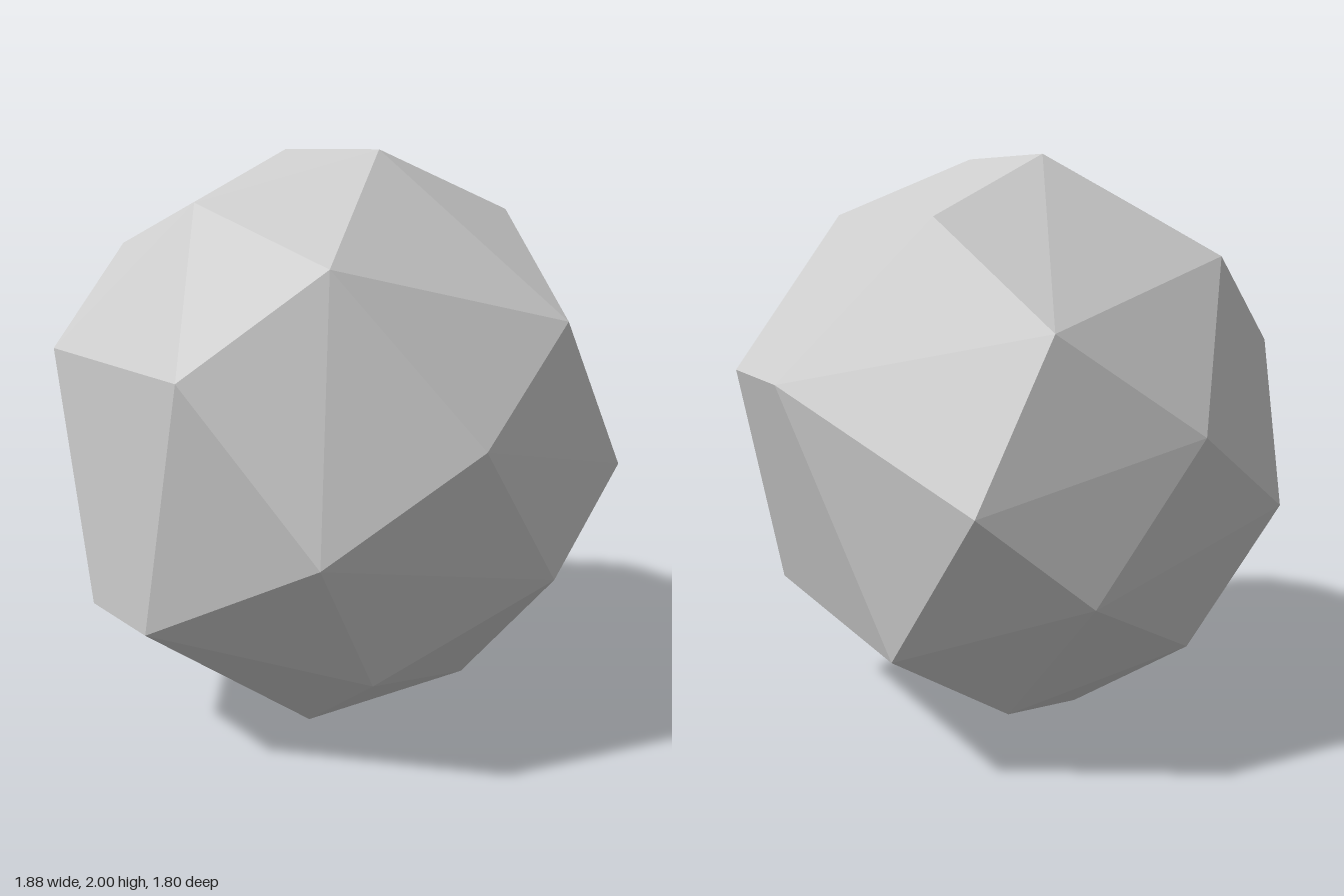
import * as THREE from 'three';
import { ConvexGeometry } from 'three/addons/geometries/ConvexGeometry.js';

export function createModel() {
  const group = new THREE.Group();
  group.name = 'facetedBall';

  const lightGrey = new THREE.MeshStandardMaterial({ color: 0xcccccc });
  lightGrey.name = 'lightGrey';

  // Corner points of the left half (x, y, z), mirrored to the right
  const corners = [
    [0.255, 2, 0.02], [0.385, 1.8, -0.445], [0.6, 1.67, 0.5],
    [0.825, 1.475, -0.28], [0.388, 1.355, 0.893], [0.2, 1.293, -0.9],
    [0.938, 1.15, 0.187], [0.843, 0.97, -0.55], [0.757, 0.843, 0.66],
    [0.902, 0.66, -0.178], [0.172, 0.515, 0.903], [0.5, 0.45, -0.66],
    [0.65, 0.36, 0.368], [0.455, 0.165, -0.22], [0.152, 0, 0.24],
  ];
  // Single peak at the upper front, slightly off centre
  const points = [new THREE.Vector3(-0.035, 1.835, 0.548)];
  for (const [x, y, z] of corners) {
    for (const side of [1, -1]) points.push(new THREE.Vector3(side * x, y, z));
  }

  // Flat-faced shell around all corners
  const ball = new THREE.Mesh(new ConvexGeometry(points), lightGrey);
  ball.name = 'facetedShell';
  group.add(ball);
  return group;
}
